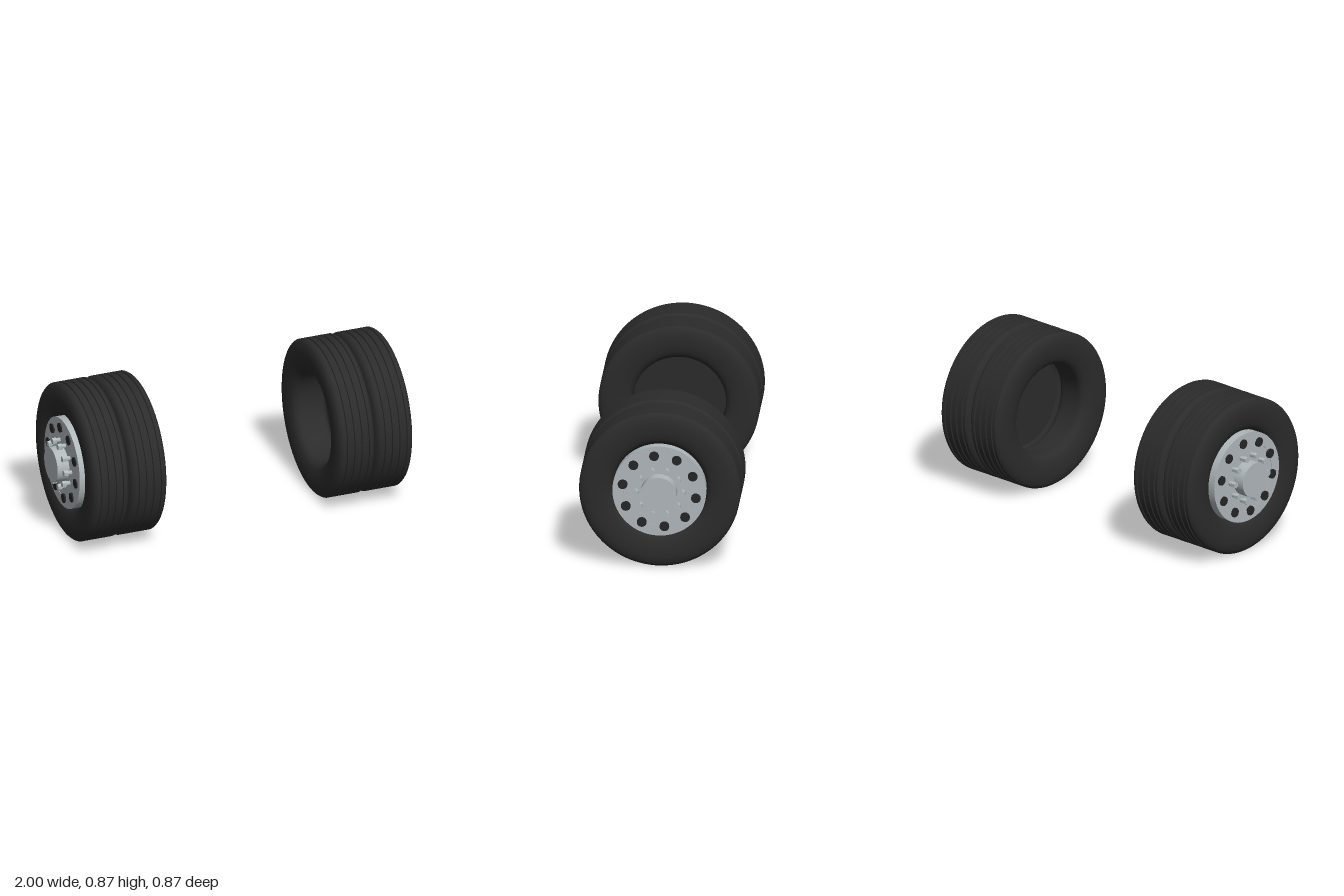
import * as THREE from 'three';
import { toCreasedNormals } from 'three/addons/utils/BufferGeometryUtils.js';

const rubber = new THREE.MeshStandardMaterial({ color: 0x2b2b2b, side: THREE.DoubleSide });
rubber.name = 'rubber';
const steel = new THREE.MeshStandardMaterial({ color: 0xb0b8bb });
steel.name = 'steel';
const holeBlack = new THREE.MeshStandardMaterial({ color: 0x262626 });
holeBlack.name = 'holeBlack';

const AXLE_Y = 0.433;

function add(parent, name, geometry, material, x = 0, y = 0, z = 0) {
  const mesh = new THREE.Mesh(geometry, material);
  mesh.name = name;
  mesh.position.set(x, y, z);
  parent.add(mesh);
  return mesh;
}

// Profile of [radius, x] pairs turned around the x axis
function turned(profile, crease = 0.5) {
  const points = profile.map(([r, x]) => new THREE.Vector2(r, x));
  return toCreasedNormals(new THREE.LatheGeometry(points, 96).rotateZ(-Math.PI / 2), crease);
}

// Solid rod along x, from x0 to x1
function rod(radius, x0, x1, sides) {
  const g = new THREE.CylinderGeometry(radius, radius, x1 - x0, sides);
  if (sides === 6) g.rotateY(Math.PI / 6);
  return toCreasedNormals(g.rotateZ(-Math.PI / 2).translate((x0 + x1) / 2, 0, 0), 0.6);
}

// Tyre with bulged sidewalls, grooved tread and an open bore
function tyreGeometry() {
  const wall = new THREE.SplineCurve([
    [0.433, 0.084], [0.422, 0.097], [0.395, 0.107], [0.36, 0.11],
    [0.315, 0.106], [0.275, 0.093], [0.254, 0.07], [0.25, 0.04],
  ].map(([r, x]) => new THREE.Vector2(r, x))).getPoints(24).map((p) => [p.x, p.y]);
  const tread = [];
  for (const x of [-0.063, -0.021, 0.021, 0.063]) {
    tread.push([0.433, x - 0.005], [0.424, x - 0.003], [0.424, x + 0.003], [0.433, x + 0.005]);
  }
  const innerWall = wall.map(([r, x]) => [r, -x]).reverse();
  return turned([...innerWall, ...tread, ...wall, innerWall[0]]);
}

// Twin wheel whose outer side faces +x
function createDualWheel() {
  const wheel = new THREE.Group();
  const tyre = tyreGeometry();
  add(wheel, 'innerTyre', tyre, rubber, -0.109);
  add(wheel, 'outerTyre', tyre, rubber, 0.109);

  // Dark web closing the bore between the two tyres
  add(wheel, 'centreWeb', rod(0.252, -0.003, 0.003, 64), rubber);

  // Rim dish with a fine step around the hole circle
  add(wheel, 'rim', turned([
    [0.25, 0.14], [0.252, 0.225], [0.194, 0.225], [0.194, 0.222], [0, 0.222],
  ]), steel);
  add(wheel, 'hub', rod(0.097, 0.215, 0.29, 48), steel);

  // Ten hand holes and ten wheel nuts
  const hole = rod(0.026, 0.217, 0.232, 32);
  const stud = rod(0.012, 0.217, 0.25, 16);
  const nut = rod(0.0175, 0.245, 0.268, 6);
  for (let i = 0; i < 10; i++) {
    const a = (i * Math.PI) / 5;
    const b = a + (8 * Math.PI) / 180;
    add(wheel, 'handHole', hole, holeBlack, 0, 0.2 * Math.cos(b), 0.2 * Math.sin(b));
    const y = 0.126 * Math.sin(a), z = 0.126 * Math.cos(a);
    add(wheel, 'wheelStud', stud, steel, 0, y, z);
    add(wheel, 'wheelNut', nut, steel, 0, y, z);
  }
  return wheel;
}

export function createModel() {
  const model = new THREE.Group();
  model.name = 'dualWheelPair';
  for (const side of [1, -1]) {
    const wheel = createDualWheel();
    wheel.name = side > 0 ? 'leftDualWheel' : 'rightDualWheel';
    wheel.position.set(side * 0.71, AXLE_Y, 0);
    if (side < 0) wheel.rotation.y = Math.PI;
    model.add(wheel);
  }
  return model;
}
